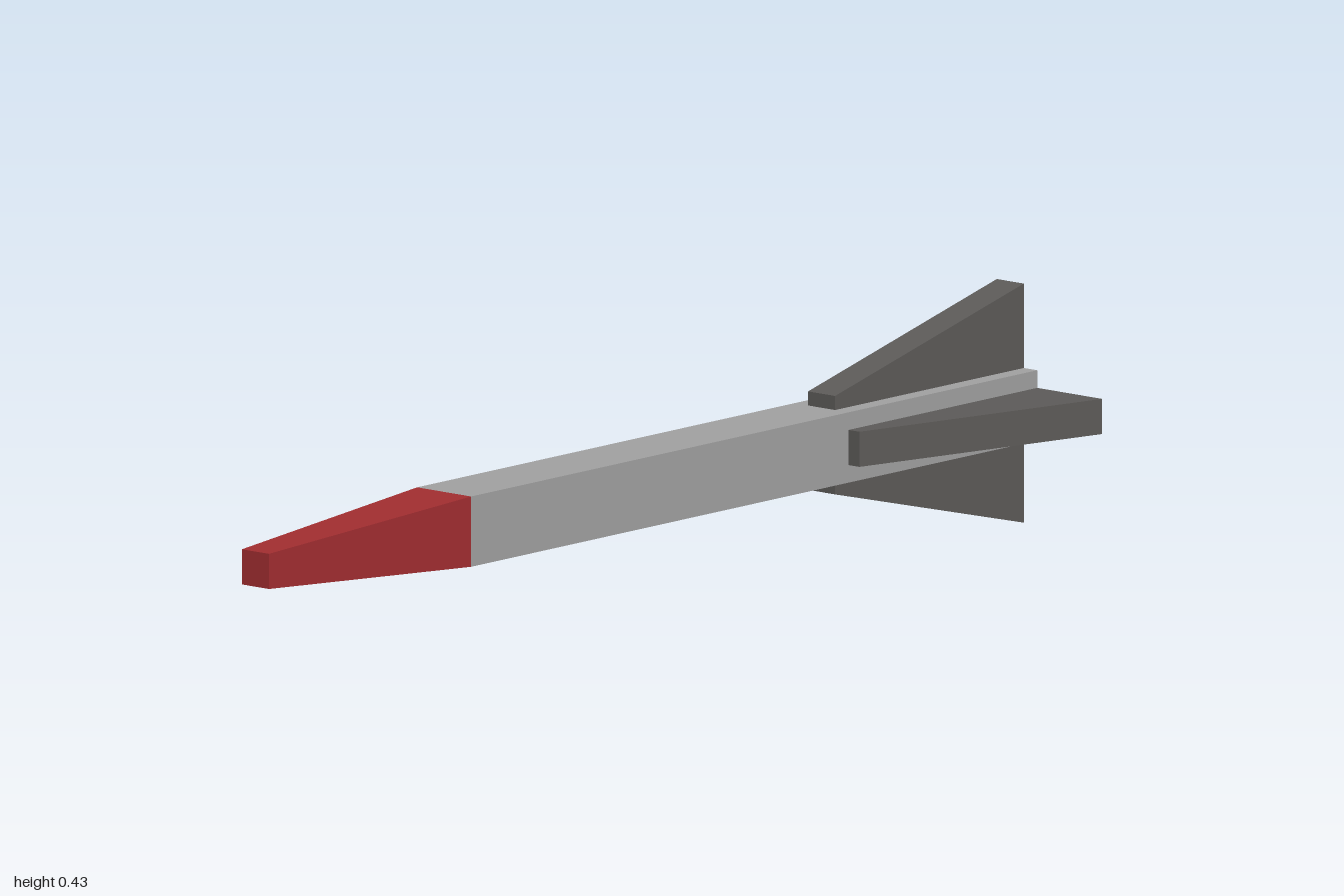
import * as THREE from 'three';

const CENTRE_Y = 0.2125;
const BODY = 0.125;
const FIN = 0.0625;

function material(name, color, flatShading = true) {
  const m = new THREE.MeshStandardMaterial({ color, flatShading });
  m.name = name;
  return m;
}

export function createModel() {
  const grey = material('bodyGrey', 0xa0a0a0);
  const red = material('noseRed', 0xa02d30);
  const dark = material('finDarkGrey', 0x5c5a58);
  const orange = material('exhaustOrange', 0xc3741c);

  const model = new THREE.Group();
  model.name = 'rocket';

  function add(name, geometry, mat) {
    const mesh = new THREE.Mesh(geometry, mat);
    mesh.name = name;
    mesh.position.y = CENTRE_Y;
    model.add(mesh);
    return mesh;
  }

  // Square body from the tail to the base of the nose
  add('body', new THREE.BoxGeometry(BODY, BODY, 1.5).translate(0, 0, -0.25), grey);

  // Four-sided tapering nose with a blunt square tip
  const nose = new THREE.CylinderGeometry(FIN / Math.SQRT2, BODY / Math.SQRT2, 0.5, 4)
    .rotateY(Math.PI / 4)
    .rotateX(Math.PI / 2)
    .translate(0, 0, 0.75);
  add('nose', nose, red);

  // Fin profile: distance along z, then distance out from the axis
  const profile = new THREE.Shape([
    new THREE.Vector2(-0.5, 0.06),
    new THREE.Vector2(-0.5, 0.0875),
    new THREE.Vector2(-1, 0.2125),
    new THREE.Vector2(-1, 0.06),
  ]);
  const finGeometry = new THREE.ExtrudeGeometry(profile, { depth: FIN, bevelEnabled: false })
    .translate(0, 0, -FIN / 2)
    .rotateY(-Math.PI / 2);

  // Four fins around the tail
  ['topFin', 'leftFin', 'bottomFin', 'rightFin'].forEach((name, i) => {
    add(name, finGeometry, dark).rotation.z = (-i * Math.PI) / 2;
  });

  // Thin eight-sided exhaust disc on the tail
  const exhaust = new THREE.CylinderGeometry(0.034, 0.034, 0.004, 8)
    .rotateY(Math.PI / 8)
    .rotateX(Math.PI / 2)
    .translate(0, 0, -1);
  add('exhaust', exhaust, orange);

  return model;
}
